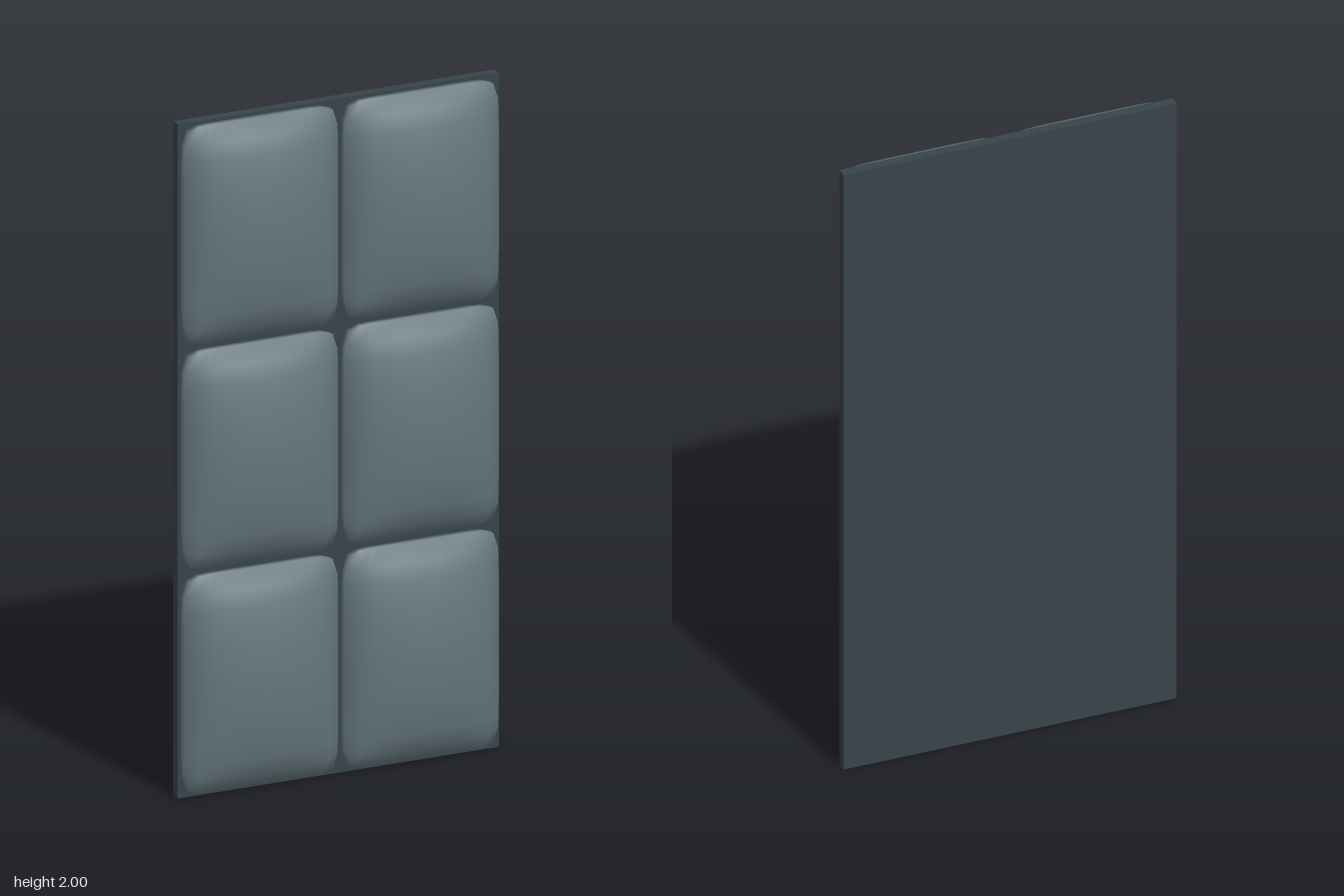
import * as THREE from 'three';
import { mergeVertices } from 'three/addons/utils/BufferGeometryUtils.js';

const BACK = -0.067, FACE = -0.038, RIM = -0.018, CROWN = 0.065;

// Pillow pad: a subdivided box with a domed front and softly rounded corners
function padGeometry(width, height) {
  const geo = new THREE.BoxGeometry(width, height, 1, 14, 14, 1);
  const pos = geo.attributes.position;
  for (let i = 0; i < pos.count; i++) {
    const u = pos.getX(i) / (width / 2), v = pos.getY(i) / (height / 2);
    const dome = Math.pow(Math.max(0, (1 - u * u) * (1 - v * v)), 0.6);
    const z = pos.getZ(i) > 0 ? RIM + (CROWN - RIM) * dome : FACE;
    pos.setXYZ(i,
      pos.getX(i) * (1 - 0.07 * Math.pow(Math.abs(v), 12)),
      pos.getY(i) * (1 - 0.04 * Math.pow(Math.abs(u), 12)), z);
  }
  // Share vertices so the rim shades softly into the dome
  geo.deleteAttribute('normal');
  geo.deleteAttribute('uv');
  const smooth = mergeVertices(geo);
  smooth.computeVertexNormals();
  return smooth;
}

export function createModel() {
  const group = new THREE.Group();
  group.name = 'paddedPanel';
  const boardMat = new THREE.MeshStandardMaterial({ color: 0x37434b });
  boardMat.name = 'darkSlate';
  const padMat = new THREE.MeshStandardMaterial({ color: 0x66777e });
  padMat.name = 'slateGrey';

  // Backing board
  const board = new THREE.Mesh(new THREE.BoxGeometry(1, 2, FACE - BACK), boardMat);
  board.position.set(0, 1, (FACE + BACK) / 2);
  board.name = 'backingBoard';
  group.add(board);

  // Two columns by three rows of pads
  const geo = padGeometry(0.48, 0.648);
  for (let row = 0; row < 3; row++) {
    for (const side of [-1, 1]) {
      const pad = new THREE.Mesh(geo, padMat);
      pad.position.set(side * 0.25, (row + 0.5) * 2 / 3, 0);
      pad.name = `pad${side < 0 ? 'Right' : 'Left'}${row + 1}`;
      group.add(pad);
    }
  }
  return group;
}
